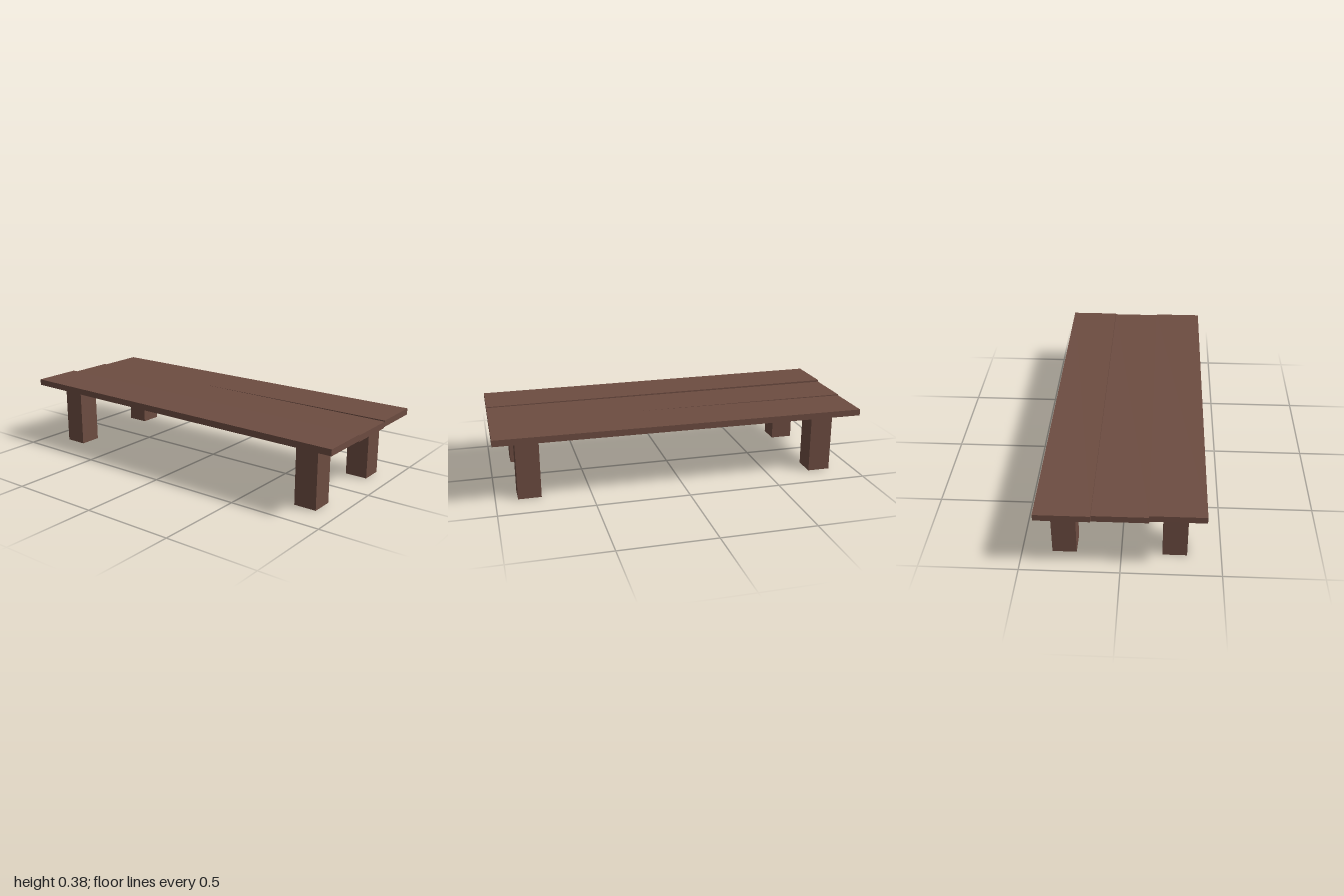
import * as THREE from 'three';

export function createModel() {
  const group = new THREE.Group();
  group.name = 'lowTable';
  const wood = new THREE.MeshStandardMaterial({ color: 0x6d4c41, flatShading: true });

  const box = (name, size, pos) => {
    const mesh = new THREE.Mesh(new THREE.BoxGeometry(...size), wood);
    mesh.name = name;
    mesh.position.set(...pos);
    group.add(mesh);
    return mesh;
  };

  // Table top: three boards, each slightly tilted; heights are top edges at the right and left ends
  const thickness = 0.034;
  const boards = [
    ['frontBoard', 0.274, 0.377, 0.367],
    ['middleBoard', 0.0025, 0.367, 0.362],
    ['backBoard', -0.272, 0.362, 0.367],
  ];
  for (const [name, z, rightTop, leftTop] of boards) {
    const board = box(name, [2, thickness, 0.272], [0, (rightTop + leftTop - thickness) / 2, z]);
    board.rotation.z = Math.atan2(leftTop - rightTop, 2);
  }

  // Four square legs, reaching the underside of the boards
  const legWidth = 0.123, legHeight = 0.334;
  const legs = [
    ['frontLeftLeg', 0.823, 0.268],
    ['frontRightLeg', -0.803, 0.268],
    ['backLeftLeg', 0.823, -0.264],
    ['backRightLeg', -0.803, -0.286],
  ];
  for (const [name, x, z] of legs) {
    box(name, [legWidth, legHeight, legWidth], [x, legHeight / 2, z]);
  }

  return group;
}
